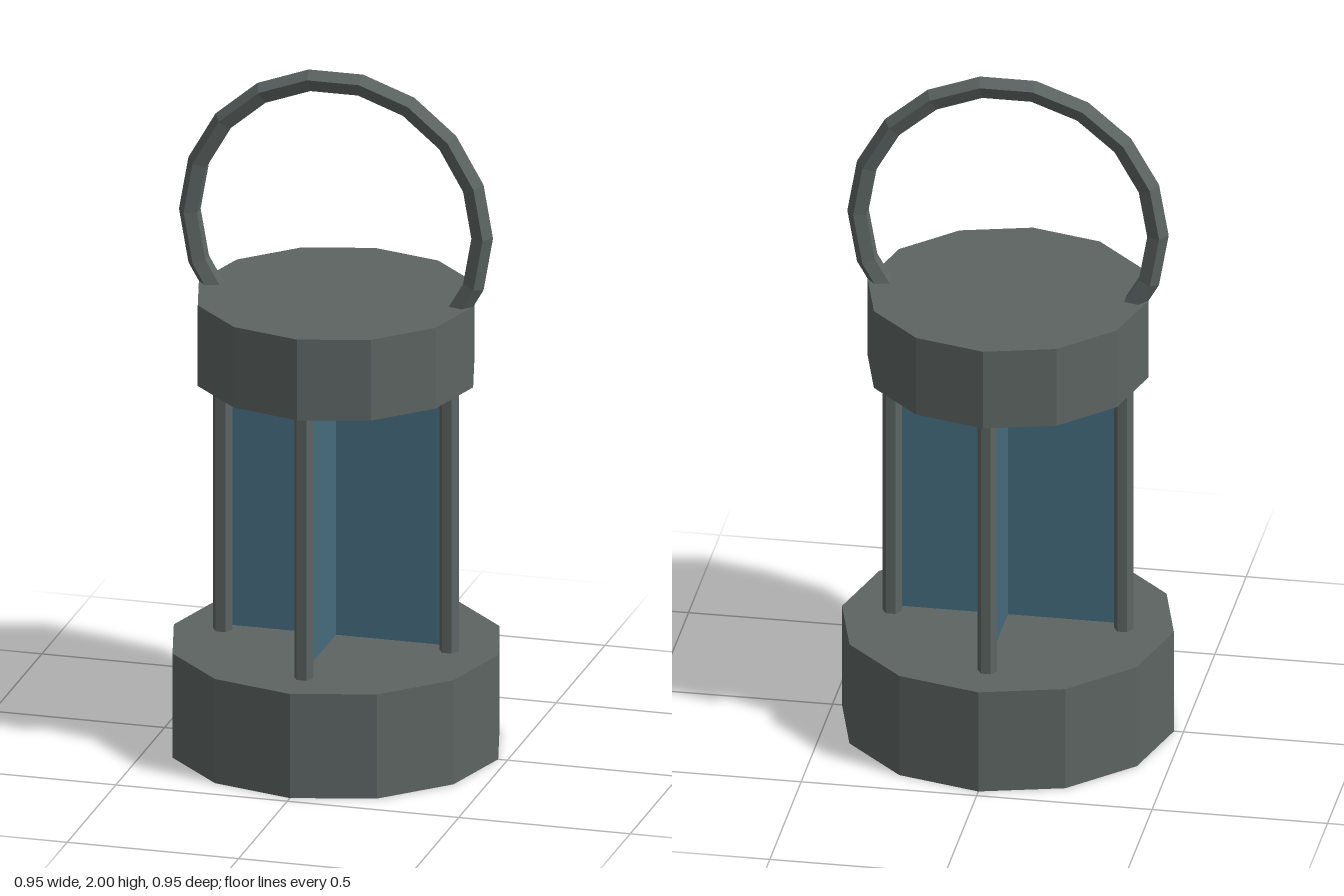
import * as THREE from 'three';

export function createModel() {
  const metal = new THREE.MeshStandardMaterial({ name: 'dark grey metal', color: 0x5c6462, flatShading: true });
  const glass = new THREE.MeshStandardMaterial({ name: 'blue glass', color: 0x456c7f, flatShading: true, side: THREE.DoubleSide });
  const model = new THREE.Group();
  model.name = 'lantern';

  function add(name, geometry, material, x = 0, y = 0, z = 0) {
    const mesh = new THREE.Mesh(geometry, material);
    mesh.name = name;
    mesh.position.set(x, y, z);
    model.add(mesh);
    return mesh;
  }

  // upright prism from y0 to y1
  function prism(name, radius, y0, y1, sides, x = 0, z = 0) {
    return add(name, new THREE.CylinderGeometry(radius, radius, y1 - y0, sides), metal, x, (y0 + y1) / 2, z);
  }

  // twelve-sided base and cap
  prism('base', 0.473, 0, 0.31, 12);
  prism('cap', 0.4, 1.1, 1.34, 12);

  // four posts between base and cap
  for (let i = 0; i < 4; i++) {
    const a = i * Math.PI / 2;
    const post = prism('post', 0.028, 0.3, 1.11, 6, 0.33 * Math.sin(a), 0.33 * Math.cos(a));
    post.rotation.y = Math.PI / 2;
  }

  // two crossed panes joining opposite posts
  for (let i = 0; i < 2; i++) {
    const pane = add('pane', new THREE.PlaneGeometry(0.66, 0.78), glass, 0, 0.715, 0);
    pane.rotation.y = i * Math.PI / 2;
  }

  // carrying ring, its ends sunk into the cap
  const ring = new THREE.TorusGeometry(0.426, 0.032, 5, 13, THREE.MathUtils.degToRad(260));
  ring.rotateZ(THREE.MathUtils.degToRad(-40));
  add('handle', ring, metal, 0, 1.549, 0);

  return model;
}
